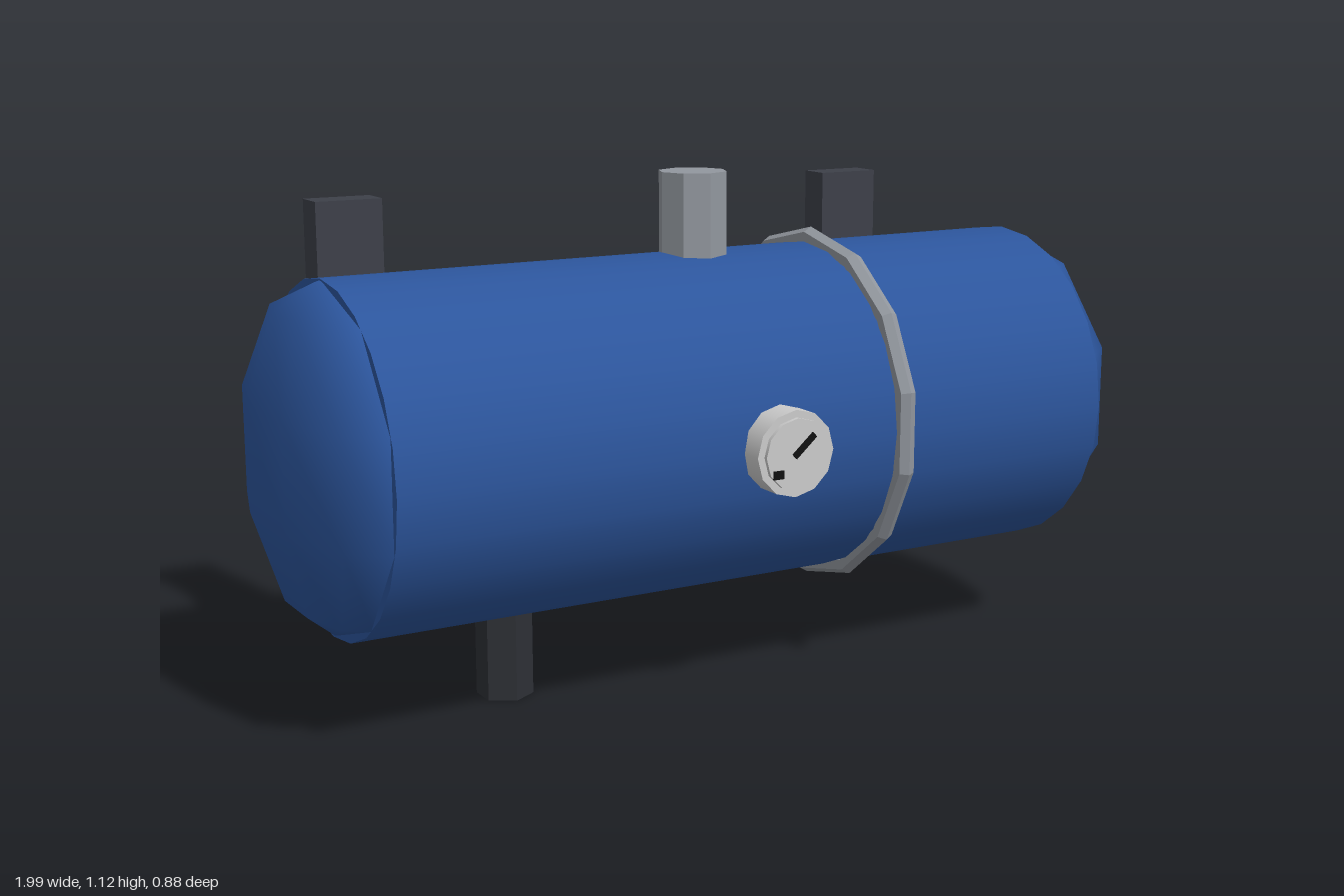
import * as THREE from 'three';

const CY = 0.567; // height of the tank axis
const R = 0.375;  // tank radius

const mat = (color, flatShading = false) => new THREE.MeshStandardMaterial({ color, flatShading });

export function createModel() {
  const group = new THREE.Group();
  const blue = mat(0x2c559c);
  const steel = mat(0x92979e, true);
  const dark = mat(0x3d4049, true);
  const black = mat(0x2e3036, true);
  const ink = mat(0x111111, true);
  const pale = mat(0xcfd0d2);

  const add = (name, geometry, material, x, y, z) => {
    const mesh = new THREE.Mesh(geometry, material);
    mesh.name = name;
    mesh.position.set(x, y, z);
    group.add(mesh);
    return mesh;
  };

  // Tank shell, lying along x
  const shell = new THREE.CylinderGeometry(R, R, 1.724, 24).rotateZ(Math.PI / 2);
  add('tankShell', shell, blue, 0, CY, 0);

  for (const side of [-1, 1]) {
    const label = side > 0 ? 'left' : 'right';

    // Shallow domed end: a half sphere squashed along x
    const dome = new THREE.SphereGeometry(R, 5, 5, 0, Math.PI).rotateY(side * Math.PI / 2);
    add(label + 'Dome', dome, blue, side * 0.857, CY, 0).scale.x = 0.4;

    // Upright rail with two brackets reaching to the tank
    const x = side * 0.66;
    add(label + 'Rail', new THREE.BoxGeometry(0.155, 0.975, 0.077), dark, x, CY, -0.398);
    for (const dy of [-0.25, 0.25]) {
      add(label + 'Bracket', new THREE.BoxGeometry(0.16, 0.094, 0.221), steel, x, CY + dy, -0.3305);
    }
  }

  // Clamp band, with a corner of its ring at the top
  const band = new THREE.TorusGeometry(0.386, 0.022, 6, 14)
    .rotateZ(Math.PI / 2).rotateY(Math.PI / 2);
  add('clampBand', band, steel, 0.312, CY, 0);

  // Top inlet and bottom drain
  add('inletPipe', new THREE.CylinderGeometry(0.077, 0.077, 0.217, 8), steel, 0, 1.0085, 0);
  add('drainPipe', new THREE.CylinderGeometry(0.062, 0.062, 0.25, 6), black, -0.475, 0.125, 0);

  // Pressure gauge on the front
  const disc = (r, depth) => new THREE.CylinderGeometry(r, r, depth, 12).rotateX(Math.PI / 2);
  add('gaugeBody', disc(0.093, 0.075), pale, 0, CY, 0.3885);
  add('gaugeFace', disc(0.077, 0.02), pale, 0, CY, 0.425);
  const needle = add('gaugeNeedle', new THREE.BoxGeometry(0.065, 0.013, 0.007), ink, 0.014, 0.585, 0.4365);
  needle.rotation.z = 0.72;
  add('gaugeMark', new THREE.BoxGeometry(0.025, 0.018, 0.005), ink, -0.048, 0.529, 0.4355);

  return group;
}
